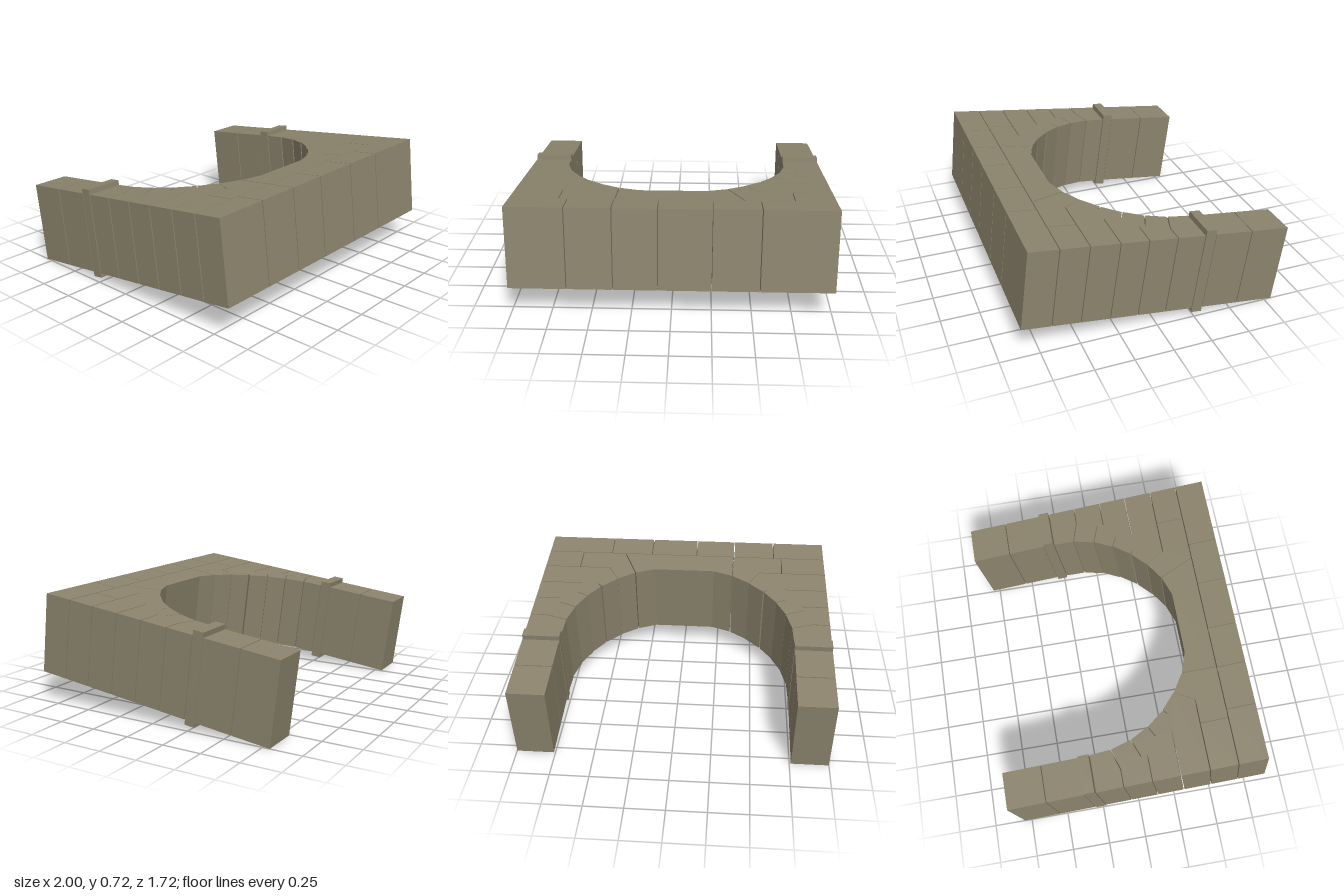
import * as THREE from 'three';

const HALF = 0.262; // half thickness of the wall
const GAP = 0.003;  // half width of a joint

export function createModel() {
  const stone = new THREE.MeshStandardMaterial({ color: 0x8b836c });
  stone.name = 'stone';

  // The arch lies almost flat: x across, z towards its top, y through the wall
  const arch = new THREE.Group();
  arch.name = 'arch';
  arch.position.y = 0.36;
  arch.rotation.x = -0.1205;

  const block = (name, points, half = HALF) => {
    const shape = new THREE.Shape(points.map(([x, z]) => new THREE.Vector2(x, -z)));
    const geo = new THREE.ExtrudeGeometry(shape, { depth: half * 2, bevelEnabled: false });
    geo.rotateX(-Math.PI / 2);
    geo.translate(0, -half, 0);
    const mesh = new THREE.Mesh(geo, stone);
    mesh.name = name;
    arch.add(mesh);
  };
  const rect = (x0, x1, z0, z1) => [[x0, z0], [x1, z0], [x1, z1], [x0, z1]];
  const shift = (pts, d) => pts.map(([x, z]) => [x, z + d]);

  // Joints of one haunch, from the outer face to the curved opening
  const joints = [
    [[1, -0.264], [0.757, -0.264]],
    [[1, -0.083], [0.885, -0.083], [0.75, -0.125]],
    [[1, 0.1], [0.83, 0.1], [0.83, 0.058], [0.712, 0.013]],
    [[1, 0.28], [0.71, 0.28], [0.72, 0.172], [0.65, 0.135]],
    [[1, 0.466], [0.535, 0.466], [0.463, 0.343]],
  ];
  // Short open joint in the last haunch stone
  const slit = [[0.569, 0.243], [0.6, 0.283], [0.561, 0.251]];

  for (const [side, s] of [['left', 1], ['right', -1]]) {
    const mirror = (pts) => pts.map(([x, z]) => [s * x, z]);

    // Straight pier and impost
    block(side + 'PierFoot', mirror(rect(0.76, 1, -0.834, -0.582 - GAP)));
    block(side + 'PierShaft', mirror(rect(0.76, 1, -0.582 + GAP, -0.335 - GAP)));
    block(side + 'Impost', mirror(rect(0.757, 1, -0.335, -0.264 - GAP)), 0.293);

    // Stepped haunch stones
    for (let i = 0; i < joints.length - 1; i++) {
      const extra = i === joints.length - 2 ? slit : [];
      block(side + 'HaunchStone' + (i + 1), mirror([
        ...shift(joints[i], GAP), ...extra, ...shift(joints[i + 1], -GAP).reverse(),
      ]));
    }
  }

  // Lower edge of the crown course, left half mirrored
  const half = [[0.21, 0.466], [0.342, 0.42], [0.463, 0.343], [0.535, 0.466 + GAP], [1, 0.466 + GAP]];
  const edge = [...half.map(([x, z]) => [-x, z]).reverse(), ...half];
  const edgeAt = (x) => {
    const i = Math.max(1, edge.findIndex((p) => p[0] >= x));
    const [a, b] = [edge[i - 1], edge[i]];
    return a[1] + (b[1] - a[1]) * (x - a[0]) / (b[0] - a[0]);
  };

  // Crown course: each joint is [x at the lower edge, x at the upper edge]
  const crown = [[-1, -1], [-0.695, -0.695], [-0.345, -0.35], [0.345, 0.44], [0.75, 0.75], [1, 1]];
  for (let i = 0; i < crown.length - 1; i++) {
    const g0 = i > 0 ? GAP : 0, g1 = i < crown.length - 2 ? GAP : 0;
    const a = crown[i][0] + g0, b = crown[i + 1][0] - g1;
    block('crownStone' + (i + 1), [
      [a, edgeAt(a)], ...edge.filter(([x]) => x > a && x < b), [b, edgeAt(b)],
      [crown[i + 1][1] - g1, 0.647 - GAP], [crown[i][1] + g0, 0.647 - GAP],
    ]);
  }

  // Top course
  const top = [-1, -0.64, -0.355, -0.08, 0.247, 0.542, 1];
  for (let i = 0; i < top.length - 1; i++) {
    const g0 = i > 0 ? GAP : 0, g1 = i < top.length - 2 ? GAP : 0;
    block('topStone' + (i + 1), rect(top[i] + g0, top[i + 1] - g1, 0.647 + GAP, 0.834));
  }

  const model = new THREE.Group();
  model.name = 'stoneArch';
  model.add(arch);
  return model;
}
